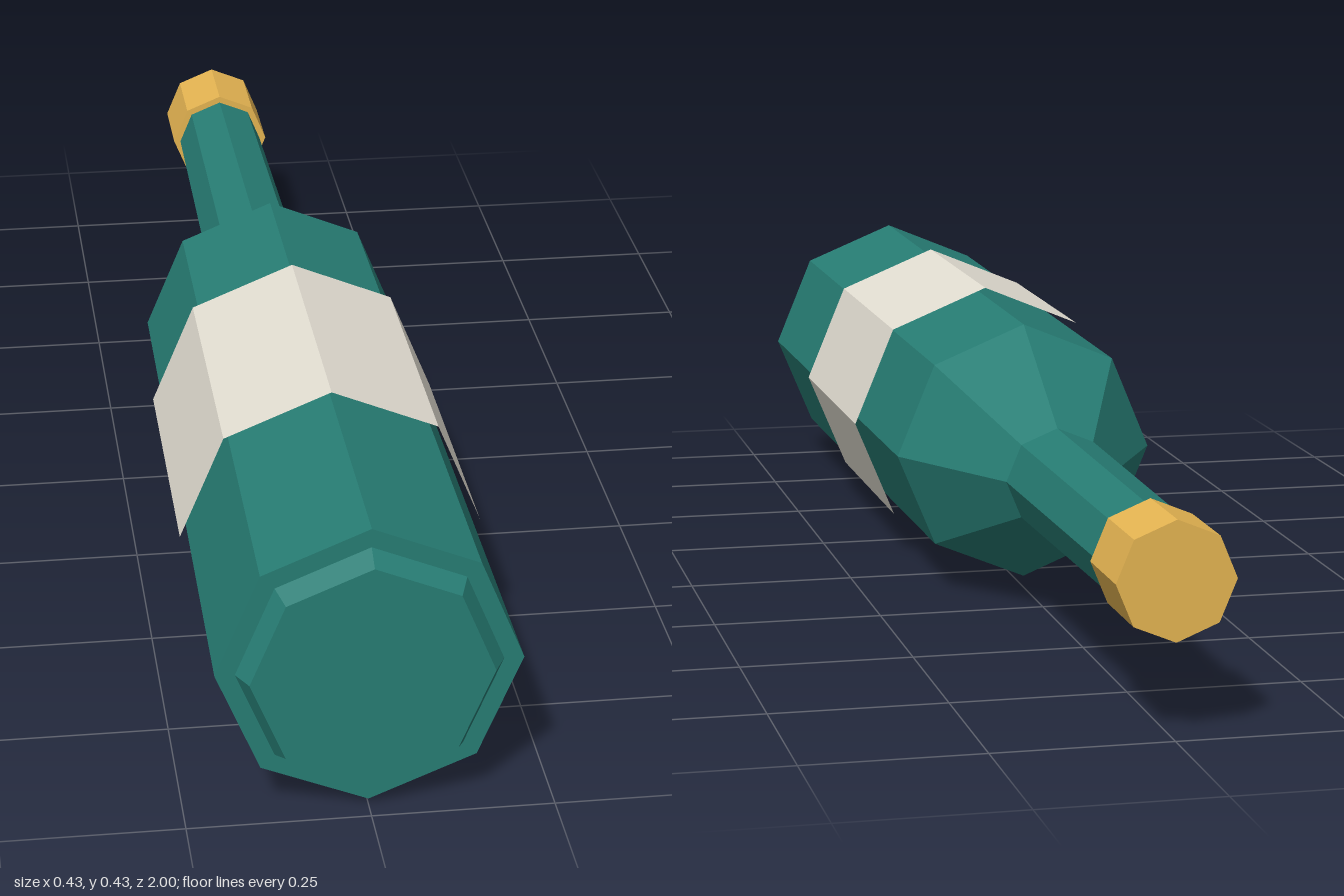
import * as THREE from 'three';

const SIDES = 8;
const AXIS_Y = 0.215;

export function createModel() {
  const flat = (name, color) => new THREE.MeshStandardMaterial({ name, color, flatShading: true });
  const green = flat('green glass', 0x277d74);
  const cream = flat('cream paper', 0xe4dfd3);
  const gold = flat('gold foil', 0xe6b552);

  const bottle = new THREE.Group();
  bottle.name = 'bottle';

  // Octagonal lathe laid along z; profile is [radius, z] from the back to the front
  const addTurned = (name, profile, material) => {
    const points = profile.map(([r, z]) => new THREE.Vector2(r, z));
    const mesh = new THREE.Mesh(new THREE.LatheGeometry(points, SIDES), material);
    mesh.name = name;
    mesh.rotation.x = Math.PI / 2;
    mesh.position.y = AXIS_Y;
    bottle.add(mesh);
  };

  // Neck, shoulder and slightly flared body
  addTurned('body', [
    [0, -0.87], [0.071, -0.87], [0.077, -0.34], [0.197, -0.12], [0.207, 0.97], [0.18, 0.97],
  ], green);

  // Raised tapered base
  addTurned('base', [[0.18, 0.97], [0.164, 1], [0, 1]], green);

  // Open paper sleeve
  addTurned('label', [[0.213, 0.152], [0.215, 0.588]], cream);

  // Foil cap over the mouth
  addTurned('cap', [[0, -1], [0.082, -1], [0.082, -0.865], [0.07, -0.865]], gold);

  return bottle;
}
